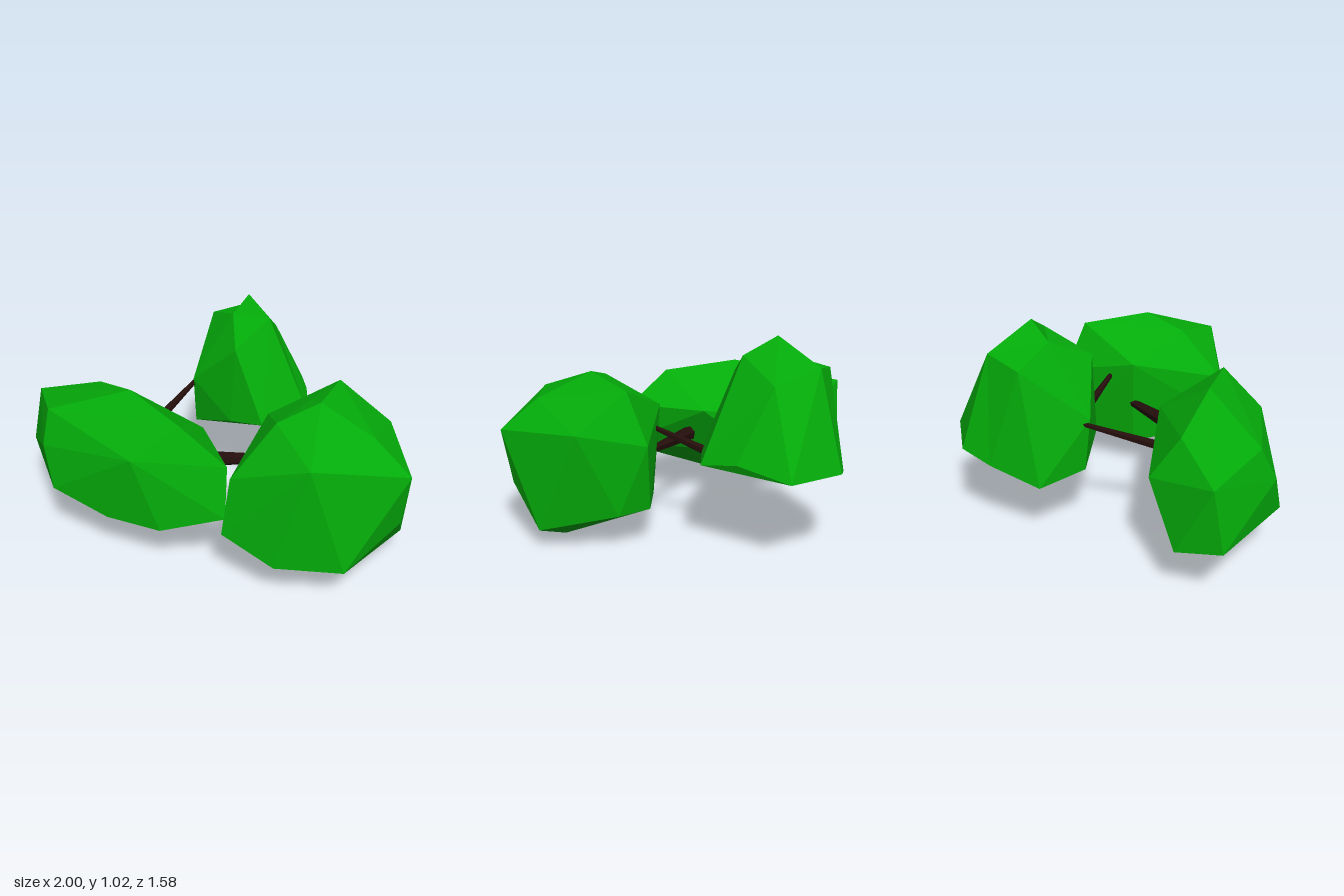
import * as THREE from 'three';
import { ConvexGeometry } from 'three/addons/geometries/ConvexGeometry.js';

const leafMaterial = new THREE.MeshStandardMaterial({ color: 0x04ac0a, flatShading: true });
const barkMaterial = new THREE.MeshStandardMaterial({ color: 0x240e0c, flatShading: true });

// Faceted clump of leaves: the hull around a few corner points.
// Each dent is [from, to]: a hull corner that is pushed inwards afterwards.
function foliage(name, corners, dents = []) {
  const outer = [...corners, ...dents.map(([from]) => from)];
  const geometry = new ConvexGeometry(outer.map((p) => new THREE.Vector3(...p)));
  const position = geometry.attributes.position;
  const vertex = new THREE.Vector3();
  for (let i = 0; i < position.count; i++) {
    vertex.fromBufferAttribute(position, i);
    for (const [from, to] of dents) {
      if (vertex.distanceTo(new THREE.Vector3(...from)) < 1e-4) position.setXYZ(i, ...to);
    }
  }
  geometry.computeVertexNormals();
  const mesh = new THREE.Mesh(geometry, leafMaterial);
  mesh.name = name;
  return mesh;
}

// Tapered twig running from its thick end to its thin end
function branch(name, thick, thin, r0, r1) {
  const a = new THREE.Vector3(...thick);
  const b = new THREE.Vector3(...thin);
  const dir = b.clone().sub(a);
  const mesh = new THREE.Mesh(new THREE.CylinderGeometry(r1, r0, dir.length(), 6), barkMaterial);
  mesh.position.copy(a).add(b).multiplyScalar(0.5);
  mesh.quaternion.setFromUnitVectors(new THREE.Vector3(0, 1, 0), dir.normalize());
  mesh.name = name;
  return mesh;
}

export function createModel() {
  const group = new THREE.Group();
  group.name = 'foliageClumps';

  // Long low clump at the front
  group.add(foliage('frontFoliage', [
    [-1, 0.295, 0.53], [-0.97, 0.575, 0.48], [-0.91, 0.235, 0.325],
    [-0.55, 0.265, 0.79], [-0.64, 0.46, 0.755], [-0.67, 0.62, 0.68],
    [-0.32, 0.74, 0.45], [0.06, 0.69, 0.52], [-0.08, 0.545, 0.71],
    [-0.23, 0.2, 0.74], [0.05, 0.2, 0.67], [0.315, 0.29, 0.51],
    [0.28, 0.525, 0.45], [-0.33, 0.06, 0.475], [-0.66, 0.65, 0.335],
    [-0.7, 0.47, 0.2], [-0.38, 0.27, 0.185], [-0.07, 0.52, 0.21],
  ]));

  // Rounded clump at the side
  group.add(foliage('sideFoliage', [
    [0.21, 0.62, 0.05], [0.44, 0.74, 0.295], [0.545, 0.8, 0.1],
    [0.815, 0.69, 0.065], [1, 0.55, 0.05], [0.735, 0.665, 0.455],
    [0.345, 0.515, 0.51], [0.345, 0.255, 0.575], [0.615, 0.17, 0.54],
    [0.87, 0.155, 0.36], [0.955, 0.285, 0.03], [0.86, 0.1, -0.175],
    [0.715, 0, 0], [0.25, 0.15, 0.05], [0.38, 0.115, -0.04],
    [0.435, 0.765, -0.235], [0.69, 0.59, -0.305], [0.36, 0.52, -0.33],
    [0.5, 0.18, -0.305], [0.34, 0.19, -0.27],
  ]));

  // Tall pointed clump at the back, with shallow creases around its tip
  group.add(foliage('backFoliage', [
    [-0.25, 1.02, -0.385], [-0.09, 0.93, -0.355], [-0.51, 0.86, -0.4],
    [-0.13, 0.81, -0.12], [-0.17, 0.435, -0.79], [0.01, 0.475, -0.58],
    [0.13, 0.435, -0.41], [0.04, 0.43, -0.13], [-0.15, 0.41, -0.1],
    [-0.4, 0.59, -0.095], [-0.41, 0.33, -0.12], [-0.58, 0.31, -0.31],
    [-0.53, 0.39, -0.55], [-0.45, 0.43, -0.7],
  ], [
    [[-0.42, 1, -0.62], [-0.39, 0.895, -0.565]],
    [[-0.3, 1, -0.26], [-0.29, 0.925, -0.3]],
    [[-0.12, 0.92, -0.65], [-0.18, 0.815, -0.54]],
  ]));

  // Twigs linking the clumps in a ring
  group.add(branch('frontBranch', [-0.38, 0.46, 0.23], [-0.41, 0.57, -0.13], 0.025, 0.012));
  group.add(branch('sideBranch', [0, 0.39, 0.26], [0.28, 0.385, 0.02], 0.04, 0.018));
  group.add(branch('backBranch', [0.02, 0.42, -0.19], [0.32, 0.56, -0.05], 0.025, 0.01));
  return group;
}
